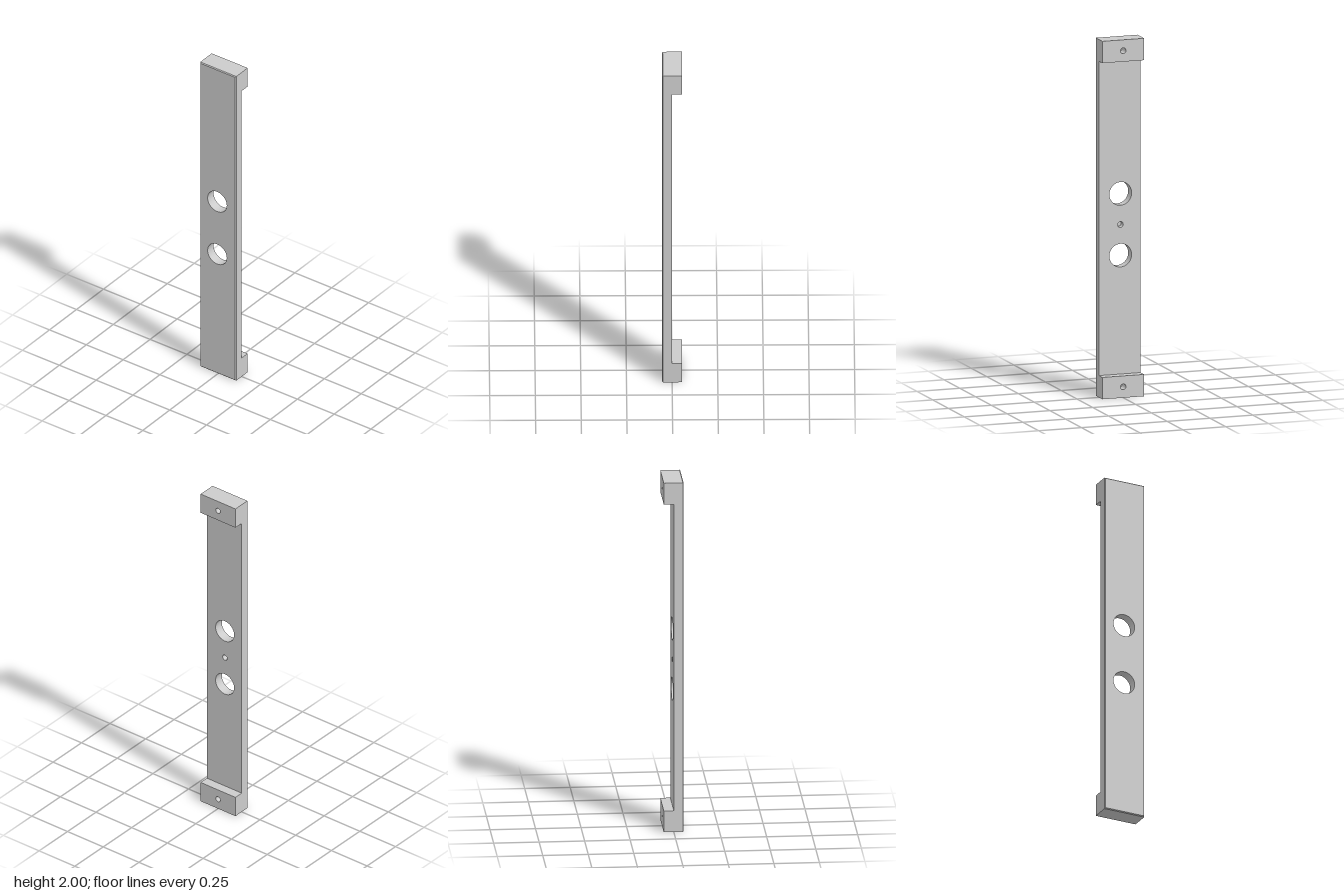
import * as THREE from 'three';

const W = 0.122, H = 2, FRONT = 0.055, STEP = 0, BACK = -0.055;
const END = 0.122, BEVEL = 0.005;
const BIG_R = 0.065, SMALL_R = 0.016, HOLE_X = -0.004;
const BIG_Y = [0.785, 1.13], MID_Y = 0.957;

const material = new THREE.MeshStandardMaterial({ color: 0xcccccc, flatShading: true });
const boreMaterial = new THREE.MeshStandardMaterial({ color: 0xcccccc, side: THREE.BackSide });

function add(group, name, geometry, mat = material) {
  const mesh = new THREE.Mesh(geometry, mat);
  mesh.name = name;
  group.add(mesh);
  return mesh;
}

// Counter-clockwise rectangle seen from the front
const rect = (w, y0, y1) => [[-w, y0], [w, y0], [w, y1], [-w, y1]].map(p => new THREE.Vector2(...p));

// Flat face with round holes, facing +z or -z
function face(points, holes, z, facesBack) {
  const shape = new THREE.Shape(points);
  for (const [x, y, r] of holes) shape.holes.push(new THREE.Path().absarc(x, y, r, 0, Math.PI * 2, true));
  const geometry = new THREE.ShapeGeometry(shape, 24);
  if (facesBack) geometry.scale(-1, 1, 1).rotateY(Math.PI);
  if (facesBack) {
    // x is mirrored twice, so only the winding and normals need turning
    const pos = geometry.attributes.position, index = geometry.index;
    const a = new THREE.Vector3(), b = new THREE.Vector3(), c = new THREE.Vector3();
    [a, b, c].forEach((v, i) => v.fromBufferAttribute(pos, index.getX(i)));
    if (b.sub(a).cross(c.sub(a)).z > 0) {
      for (let i = 0; i < index.count; i += 3) {
        const t = index.getX(i);
        index.setX(i, index.getX(i + 2));
        index.setX(i + 2, t);
      }
    }
    geometry.computeVertexNormals();
  }
  return geometry.translate(0, 0, z);
}

// Outward walls between a back loop and a front loop
function walls(backLoop, zBack, frontLoop, zFront) {
  const v = [];
  backLoop.forEach((p, i) => {
    const j = (i + 1) % backLoop.length;
    const a = [p.x, p.y, zBack], b = [backLoop[j].x, backLoop[j].y, zBack];
    const c = [frontLoop[j].x, frontLoop[j].y, zFront], d = [frontLoop[i].x, frontLoop[i].y, zFront];
    v.push(...a, ...b, ...c, ...a, ...c, ...d);
  });
  const geometry = new THREE.BufferGeometry();
  geometry.setAttribute('position', new THREE.Float32BufferAttribute(v, 3));
  geometry.computeVertexNormals();
  return geometry;
}

// Inner wall of a round hole, with a floor when it is blind
function bore(group, name, [x, y, r], zBack, zFront, blind) {
  const geometry = new THREE.CylinderGeometry(r, r, zFront - zBack, 48, 1, true).rotateX(Math.PI / 2);
  add(group, name, geometry, boreMaterial).position.set(x, y, (zBack + zFront) / 2);
  if (blind) {
    const floor = new THREE.CircleGeometry(r, 48).rotateY(Math.PI);
    add(group, name + 'Floor', floor).position.set(x, y, zFront);
  }
}

export function createModel() {
  const model = new THREE.Group();
  model.name = 'mountingBar';

  // Long plate with bevelled front edges
  const plate = new THREE.Group();
  plate.name = 'plate';
  const outer = rect(W, 0, H), inset = rect(W - BEVEL, BEVEL, H - BEVEL);
  const bigHoles = BIG_Y.map(y => [HOLE_X, y, BIG_R]);
  const midHole = [HOLE_X, MID_Y, SMALL_R];
  add(plate, 'plateFront', face(inset, bigHoles, FRONT, false));
  add(plate, 'frontBevel', walls(outer, FRONT - BEVEL, inset, FRONT));
  add(plate, 'plateSides', walls(outer, STEP, outer, FRONT - BEVEL));
  add(plate, 'plateBack', face(rect(W, END, H - END), [...bigHoles, midHole], STEP, true));
  for (const hole of bigHoles) bore(plate, 'throughHole', hole, STEP, FRONT, false);
  bore(plate, 'centreScrewHole', midHole, STEP, 0.035, true);
  model.add(plate);

  // Raised blocks behind both ends, each with a blind screw hole
  for (const [name, y0] of [['bottomBlock', 0], ['topBlock', H - END]]) {
    const block = new THREE.Group();
    block.name = name;
    const loop = rect(W, y0, y0 + END);
    const hole = [0, y0 + END / 2, SMALL_R];
    add(block, name + 'Sides', walls(loop, BACK, loop, STEP));
    add(block, name + 'Back', face(loop, [hole], BACK, true));
    bore(block, 'screwHole', hole, BACK, 0.01, true);
    model.add(block);
  }
  return model;
}
